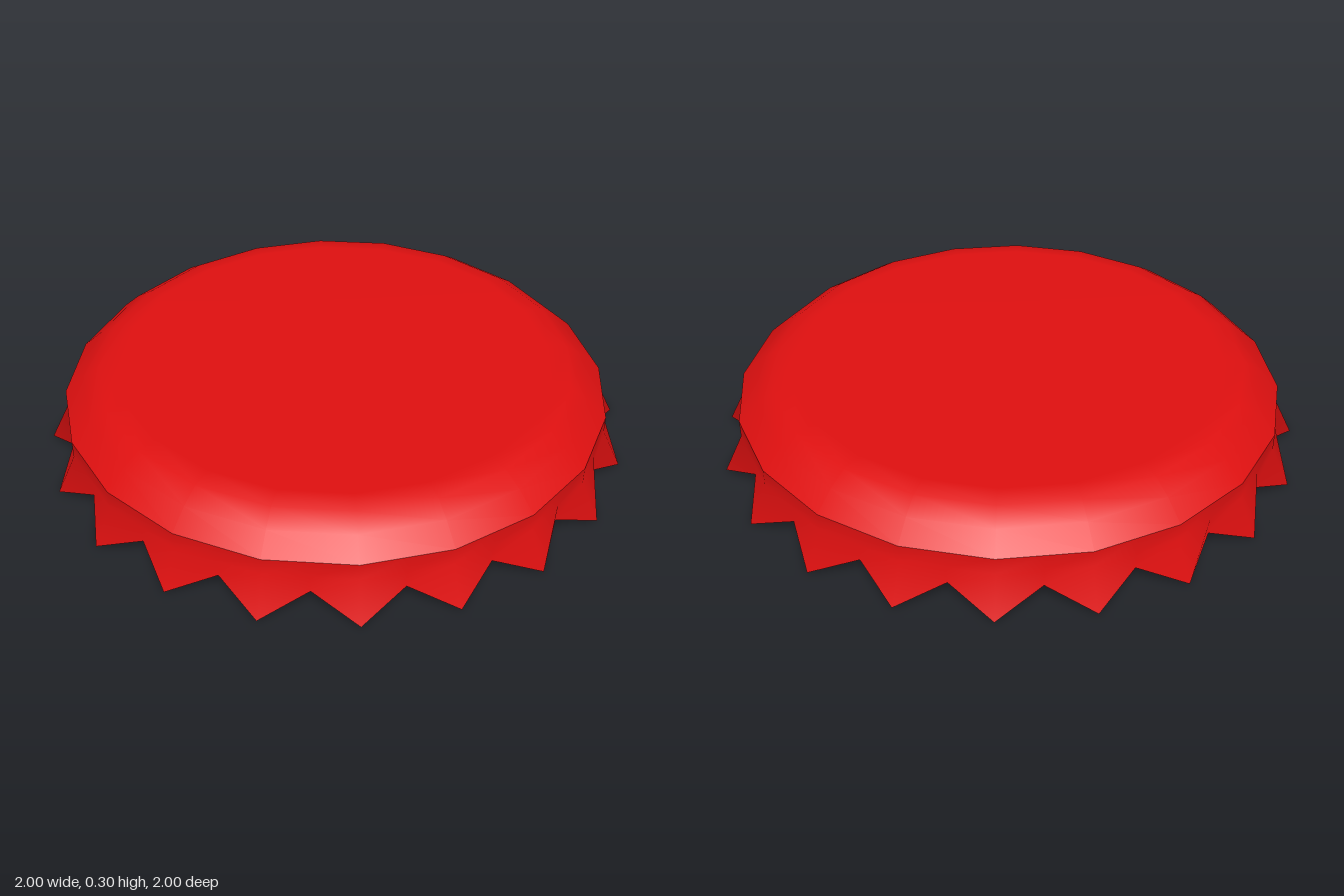
import * as THREE from 'three';
import { mergeVertices } from 'three/addons/utils/BufferGeometryUtils.js';

const TEETH = 20;
const RIM = 0.935;

export function createModel() {
  const group = new THREE.Group();
  group.name = 'bottleCap';
  const material = new THREE.MeshStandardMaterial({ color: 0xe01010, side: THREE.DoubleSide });

  const add = (name, geometry) => {
    const mesh = new THREE.Mesh(geometry, material);
    mesh.name = name;
    group.add(mesh);
  };
  const lathe = (points) =>
    new THREE.LatheGeometry(points.map(([r, y]) => new THREE.Vector2(r, y)), TEETH);

  // Crown: flat top with a rounded shoulder
  add('crown', lathe([[RIM, 0.19], [0.87, 0.25], [0.81, 0.288], [0.74, 0.297], [0, 0.297]]));

  // Liner: underside closing the crown, facing down
  add('liner', lathe([[0, 0.192], [0.86, 0.192], [0.925, 0.185]]));

  // Skirt: short upright band flaring out into pointed teeth
  const skirt = new THREE.CylinderGeometry(1, 1, 1, TEETH * 2, 2, true);
  const pos = skirt.attributes.position;
  const columns = TEETH * 2 + 1;
  const flat = Math.cos(Math.PI / TEETH);
  const tip = [[RIM, 0.19], [RIM, 0.13], [1, 0]];
  const valley = [[RIM * flat, 0.19], [RIM * flat, 0.13], [0.921, 0.07]];
  for (let i = 0; i < pos.count; i++) {
    const column = i % columns;
    const row = Math.floor(i / columns);
    const [r, y] = (column % 2 === 0 ? tip : valley)[row];
    const a = (column % (TEETH * 2)) * Math.PI / TEETH;
    pos.setXYZ(i, r * Math.sin(a), y, r * Math.cos(a));
  }
  // Weld the seam so the shading runs smoothly round the skirt
  skirt.deleteAttribute('uv');
  skirt.deleteAttribute('normal');
  const welded = mergeVertices(skirt);
  welded.computeVertexNormals();
  add('skirt', welded);

  return group;
}
